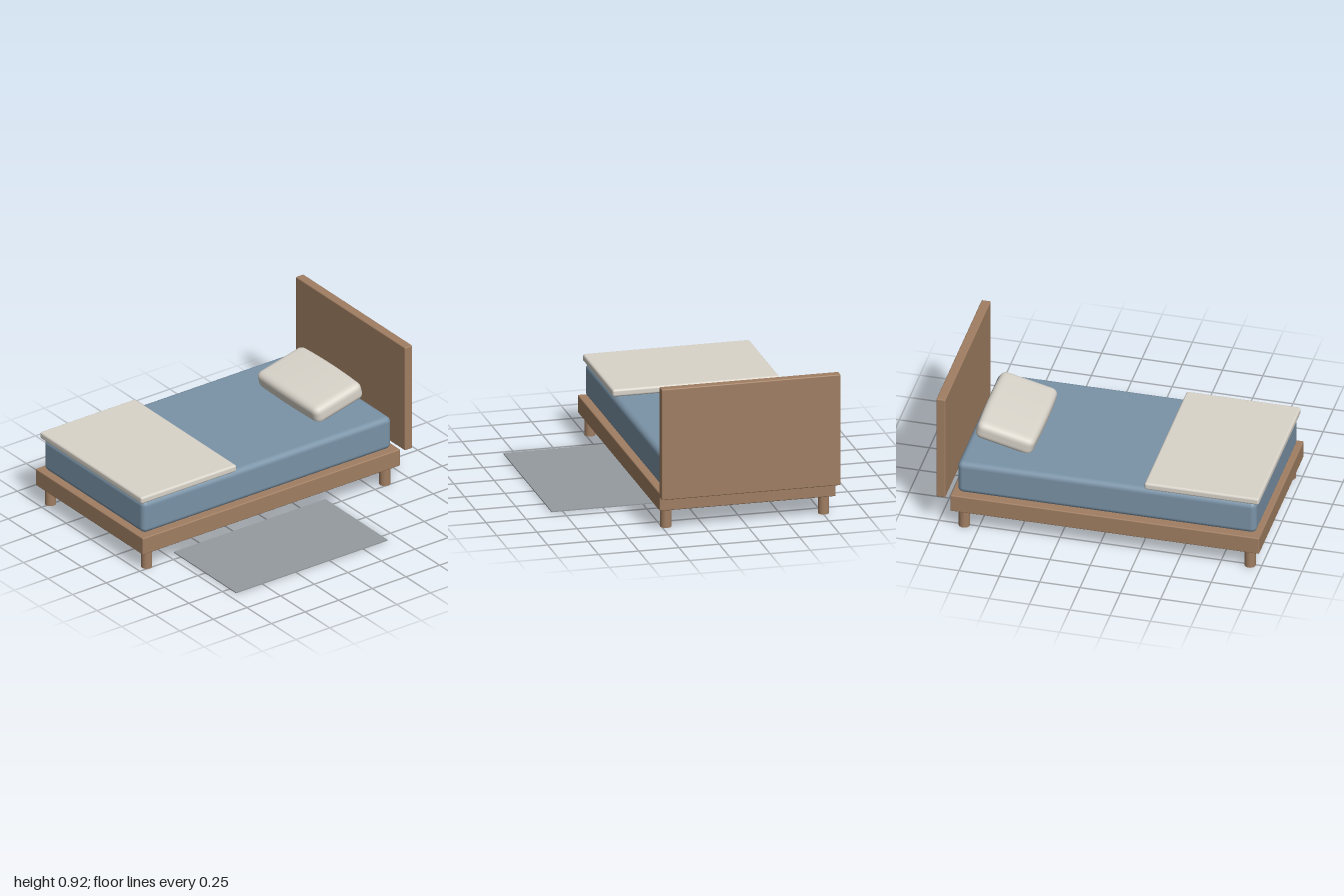
import * as THREE from 'three';
import { mergeVertices } from 'three/addons/utils/BufferGeometryUtils.js';
import { RoundedBoxGeometry } from 'three/addons/geometries/RoundedBoxGeometry.js';

const material = (name, color) => {
  const m = new THREE.MeshStandardMaterial({ color });
  m.name = name;
  return m;
};

// Box with softened edges, given by its extents on each axis
function softBox(name, [x0, x1], [y0, y1], [z0, z1], radius, mat) {
  const geometry = new RoundedBoxGeometry(x1 - x0, y1 - y0, z1 - z0, 4, radius);
  const mesh = new THREE.Mesh(geometry, mat);
  mesh.name = name;
  mesh.position.set((x0 + x1) / 2, (y0 + y1) / 2, (z0 + z1) / 2);
  return mesh;
}

// Rounded cushion, a little thinner and shallower towards its ends
function pillowGeometry(w, h, d, radius) {
  let geometry = new THREE.BoxGeometry(w, h, d, 44, 12, 28);
  geometry.deleteAttribute('uv');
  geometry.deleteAttribute('normal');
  geometry = mergeVertices(geometry);
  const inner = new THREE.Vector3(w / 2 - radius, h / 2 - radius, d / 2 - radius);
  const low = inner.clone().negate();
  const p = new THREE.Vector3();
  const core = new THREE.Vector3();
  const pos = geometry.attributes.position;
  for (let i = 0; i < pos.count; i++) {
    p.fromBufferAttribute(pos, i);
    core.copy(p).clamp(low, inner);
    p.sub(core).setLength(radius).add(core);
    const end = (p.x / (w / 2)) ** 2;
    pos.setXYZ(i, p.x, p.y * (1 - 0.12 * end), p.z * (1 - 0.04 * end));
  }
  geometry.computeVertexNormals();
  return geometry;
}

export function createModel() {
  const wood = material('wood', 0xa07e62);
  const blue = material('blue bedding', 0x7a93a7);
  const linen = material('linen', 0xd9d4ca);
  const grey = material('grey rug', 0x949b9e);

  const model = new THREE.Group();
  model.name = 'bed';

  // Wooden frame and headboard
  model.add(softBox('frame', [-0.815, 0.281], [0.123, 0.236], [-0.915, 1.0], 0.007, wood));
  model.add(softBox('headboard', [-0.824, 0.29], [0.22, 0.923], [-1.0, -0.943], 0.007, wood));

  // Four round legs
  const legGeometry = new THREE.CylinderGeometry(0.034, 0.034, 0.125, 24);
  for (const x of [-0.757, 0.223]) {
    for (const z of [-0.842, 0.93]) {
      const leg = new THREE.Mesh(legGeometry, wood);
      leg.name = 'leg';
      leg.position.set(x, 0.0625, z);
      model.add(leg);
    }
  }

  // Mattress and folded blanket
  model.add(softBox('mattress', [-0.778, 0.246], [0.236, 0.452], [-0.882, 0.97], 0.035, blue));
  model.add(softBox('blanket', [-0.785, 0.254], [0.452, 0.498], [0.28, 0.99], 0.014, linen));

  // Pillow leaning up towards the headboard
  const pillow = new THREE.Mesh(pillowGeometry(0.622, 0.128, 0.375, 0.042), linen);
  pillow.name = 'pillow';
  pillow.position.set(-0.267, 0.523, -0.643);
  pillow.rotation.x = 0.24;
  model.add(pillow);

  // Thin rug beside the bed
  const rug = new THREE.Mesh(new THREE.BoxGeometry(0.635, 0.007, 1.128), grey);
  rug.name = 'rug';
  rug.position.set(0.505, 0.0075, 0.138);
  model.add(rug);

  return model;
}
